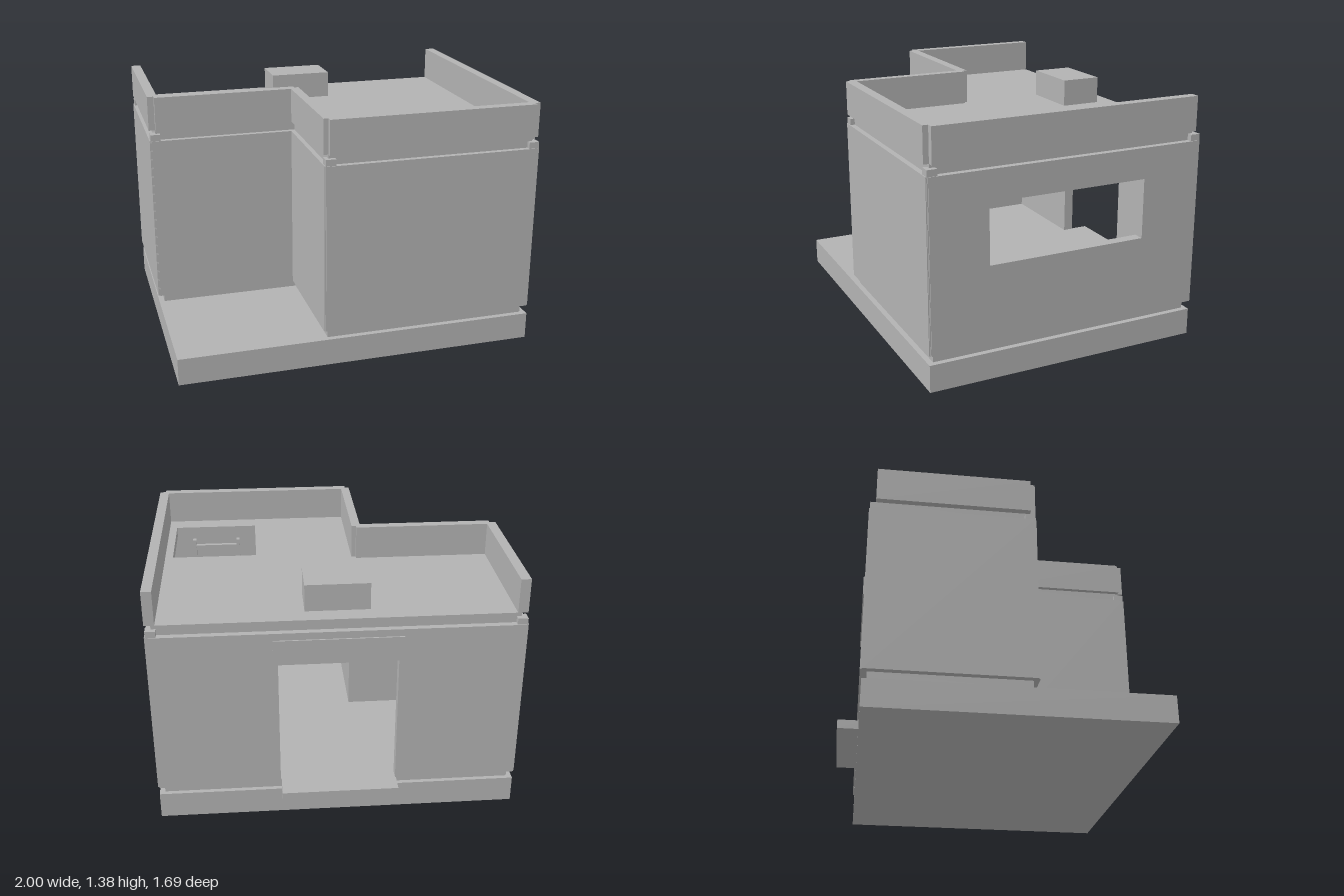
import * as THREE from 'three';

export function createModel() {
  const model = new THREE.Group();
  model.name = 'house';
  const concrete = new THREE.MeshStandardMaterial({ color: 0xb2b2b2 });
  concrete.name = 'concreteGrey';

  const add = (name, geometry, parent = model) => {
    const mesh = new THREE.Mesh(geometry, concrete);
    mesh.name = name;
    parent.add(mesh);
    return mesh;
  };
  // Box given by its minimum and maximum on each axis
  const box = (name, x0, x1, y0, y1, z0, z1, parent) => {
    const g = new THREE.BoxGeometry(x1 - x0, y1 - y0, z1 - z0);
    g.translate((x0 + x1) / 2, (y0 + y1) / 2, (z0 + z1) / 2);
    return add(name, g, parent);
  };
  const rectangle = (a0, a1, b0, b1) => [[a0, b0], [a1, b0], [a1, b1], [a0, b1]].map(p => new THREE.Vector2(...p));
  const plate = (points, hole, depth) => {
    const shape = new THREE.Shape(points);
    if (hole) shape.holes.push(new THREE.Path(rectangle(...hole)));
    return new THREE.ExtrudeGeometry(shape, { depth, bevelEnabled: false });
  };

  // Base block and the L-shaped floor and roof slabs
  box('base', -0.995, 0.995, 0, 0.15, -0.73, 0.84);
  const plan = [[-0.965, -0.705], [0.965, -0.705], [0.965, 0.81], [-0.175, 0.81], [-0.175, 0.12], [-0.965, 0.12]]
    .map(p => new THREE.Vector2(...p));
  const slab = (name, bottom, top, hole) =>
    add(name, plate(plan, hole, top - bottom).rotateX(Math.PI / 2).translate(0, top, 0));
  slab('floorSlab', 0.15, 0.2);
  slab('roofSlab', 1.13, 1.185, [0.41, 0.9, 0.185, 0.67]);

  // Walls: runs along x or z, with optional openings
  const thick = 0.06, low = 0.2, high = 1.13;
  const wallX = (name, x0, x1, z, hole) =>
    add(name, plate(rectangle(x0, x1, low, high), hole, thick).translate(0, 0, z));
  const wallZ = (name, z0, z1, x, hole) =>
    add(name, plate(rectangle(z0, z1, low, high), hole, thick).rotateY(-Math.PI / 2).translate(x + thick, 0, 0));
  wallX('frontWall', -0.19, 0.99, 0.78);
  wallX('porchBackWall', -0.99, -0.14, 0.09);
  wallZ('porchSideWall', 0.09, 0.83, -0.2);
  wallZ('leftWall', -0.73, 0.83, 0.94, [-0.39, 0.51, 0.63, 0.96]);
  wallZ('rightWall', -0.73, 0.14, -1);

  // Back wall with a doorway reaching the floor
  const door = [[-0.99, low], [-0.32, low], [-0.32, 0.945], [0.32, 0.945], [0.32, low], [0.99, low], [0.99, high], [-0.99, high]];
  add('backWall', plate(door.map(p => new THREE.Vector2(...p)), null, thick).translate(0, 0, -0.74));
  box('doorStep', -0.325, 0.315, 0.15, 0.2, -0.845, -0.69);
  box('doorHeader', -0.345, 0.345, 0.975, 1.09, -0.748, -0.739);

  // Corner posts, set back slightly to leave a groove and rising above the walls
  for (const [x, z, sx, sz] of [[1, 0.84, 1, 1], [-0.2, 0.84, -1, 1], [-1, 0.15, -1, 1], [1, -0.74, 1, -1], [-1, -0.74, -1, -1]]) {
    const px = x - sx * 0.0325, pz = z - sz * 0.0325, h = 0.0275;
    box('cornerPost', px - h, px + h, low, 1.165, pz - h, pz + h);
  }

  // Parapet, open along the back
  const parapet = new THREE.Group();
  parapet.name = 'parapet';
  model.add(parapet);
  for (const [x0, x1, z0, z1] of [
    [-0.175, 0.965, 0.785, 0.84], [0.945, 1, -0.705, 0.81], [-1, -0.945, -0.705, 0.12],
    [-0.965, -0.175, 0.095, 0.15], [-0.2, -0.15, 0.12, 0.81],
  ]) box('parapetPanel', x0, x1, 1.185, 1.375, z0, z1, parapet);

  box('roofBox', -0.18, 0.17, 1.185, 1.335, -0.6, -0.375);
  box('bench', 0.67, 0.875, low, 0.45, -0.5, 0.29);

  // Ladder to the roof hatch
  const ladder = new THREE.Group();
  ladder.name = 'ladder';
  model.add(ladder);
  for (const x of [0.51, 0.78]) box('ladderRail', x, x + 0.02, low, 1.135, 0.57, 0.605, ladder);
  for (let i = 0; i < 9; i++) {
    const y = 0.28 + i * 0.1;
    box('ladderRung', 0.53, 0.78, y, y + 0.02, 0.575, 0.6, ladder);
  }
  return model;
}
